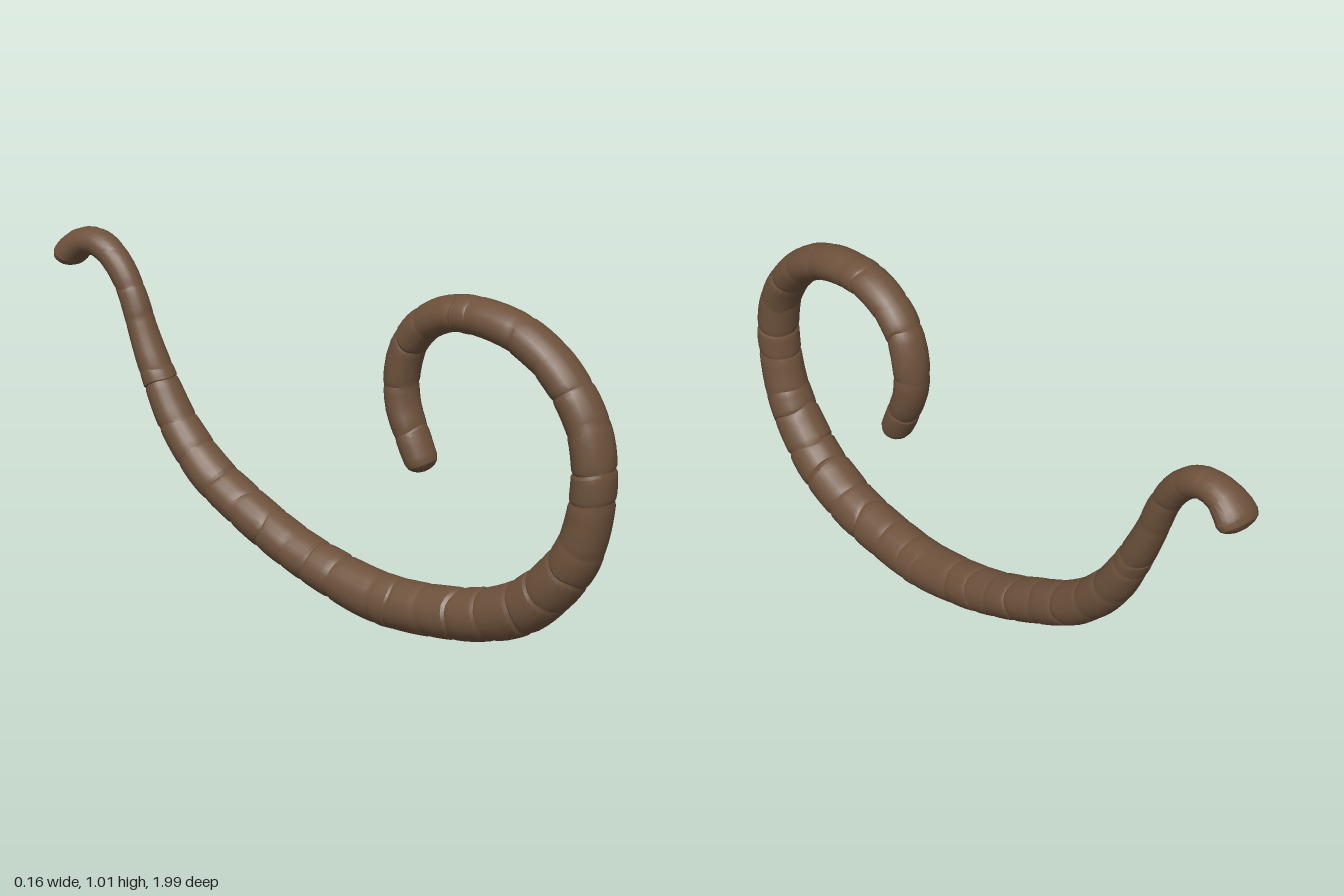
import * as THREE from 'three';
import { toCreasedNormals } from 'three/addons/utils/BufferGeometryUtils.js';

// Centre line from curled tip to flared end: z, y, radius in the curl plane, half width in x
const PATH = [
  [0.395, 0.495, 0.044, 0.05], [0.353, 0.583, 0.046, 0.054], [0.316, 0.674, 0.046, 0.056],
  [0.312, 0.76, 0.046, 0.058], [0.337, 0.85, 0.048, 0.058], [0.39, 0.914, 0.049, 0.059],
  [0.476, 0.958, 0.05, 0.06], [0.578, 0.964, 0.052, 0.062], [0.684, 0.945, 0.053, 0.063],
  [0.786, 0.893, 0.053, 0.065], [0.861, 0.82, 0.054, 0.066], [0.914, 0.735, 0.056, 0.066],
  [0.94, 0.615, 0.058, 0.067], [0.93, 0.481, 0.062, 0.067], [0.898, 0.374, 0.067, 0.071],
  [0.834, 0.278, 0.073, 0.075], [0.738, 0.187, 0.077, 0.077], [0.61, 0.128, 0.075, 0.077],
  [0.46, 0.096, 0.074, 0.076], [0.267, 0.083, 0.075, 0.075], [0.086, 0.112, 0.069, 0.073],
  [-0.075, 0.16, 0.064, 0.072], [-0.235, 0.23, 0.064, 0.071], [-0.396, 0.32, 0.063, 0.069],
  [-0.519, 0.444, 0.058, 0.062], [-0.594, 0.572, 0.05, 0.055], [-0.652, 0.695, 0.043, 0.047],
  [-0.7, 0.818, 0.041, 0.043], [-0.754, 0.9, 0.042, 0.045], [-0.823, 0.947, 0.042, 0.048],
  [-0.89, 0.947, 0.042, 0.05], [-0.935, 0.918, 0.045, 0.064], [-0.967, 0.875, 0.044, 0.07],
];
const SIDES = 20;
const FOLDS = 36;
const CAP = 0.035;

// Small seeded random numbers, 0 to 1
function seeded(seed) {
  return () => {
    seed = (seed * 16807) % 2147483647;
    return seed / 2147483647;
  };
}

function trunkGeometry() {
  const curve = new THREE.CatmullRomCurve3(PATH.map(([z, y]) => new THREE.Vector3(0, y, z)));
  const length = curve.getLength();
  const cap = CAP / length;
  const random = seeded(77);

  // Fold borders, each with its own tilt around the trunk
  const borders = [];
  for (let i = 0; i <= FOLDS; i++) {
    const atEnd = i === 0 || i === FOLDS;
    const s = (i + (atEnd ? 0 : (random() - 0.5) * 0.65)) / FOLDS;
    borders.push({
      u: cap + s * (1 - 2 * cap),
      tilt: atEnd ? 0 : (random() - 0.5) * 0.026 / length,
      ripple: atEnd ? 0 : random() * 0.007 / length,
      phase: random() * 6.28,
      depth: atEnd ? 0 : 0.03 + random() * 0.06,
    });
  }

  // Rings: rounded tip, bulging skin folds with sharp grooves between, rounded end
  const rings = [];
  const capSteps = [0, 0.06, 0.25, 0.55];
  capSteps.forEach((d) => rings.push({ u: d * cap, scale: () => Math.sqrt(1 - (1 - d) ** 2), shift: () => 0 }));
  for (let i = 0; i < FOLDS; i++) {
    const a = borders[i], b = borders[i + 1];
    const swell = 0.015 + random() * 0.025;
    const phase = random() * 6.28;
    for (const f of [0, 0.1, 0.3, 0.55, 0.8, 0.93]) {
      const groove = f === 0 ? a.depth : f === 0.93 ? b.depth * 0.2 : 0;
      const bulge = swell * Math.sin(Math.PI * Math.min(1, f * 0.9 + 0.1));
      const shiftOf = (e, t) => e.tilt * Math.sin(t) + e.ripple * Math.sin(3 * t + e.phase);
      rings.push({
        u: a.u + (b.u - a.u) * f,
        scale: (t) => 1 - groove * (0.75 + 0.25 * Math.sin(2 * t + phase))
          + bulge * (0.6 + 0.4 * Math.sin(3 * t + phase)) - 0.01,
        shift: (t) => shiftOf(a, t) * (1 - f) + shiftOf(b, t) * f,
      });
    }
  }
  [1, ...capSteps.slice().reverse()].forEach((d) =>
    rings.push({ u: 1 - d * cap, scale: () => Math.sqrt(1 - (1 - d) ** 2), shift: () => 0 }));

  // Vertices
  const positions = [];
  const side = new THREE.Vector3(1, 0, 0);
  for (const ring of rings) {
    for (let j = 0; j < SIDES; j++) {
      const t = (j / SIDES) * Math.PI * 2;
      const u = THREE.MathUtils.clamp(ring.u + ring.shift(t), 0, 1);
      const w = curve.getUtoTmapping(u);
      const k = Math.min(Math.floor(w * (PATH.length - 1)), PATH.length - 2);
      const f = w * (PATH.length - 1) - k;
      const radius = THREE.MathUtils.lerp(PATH[k][2], PATH[k + 1][2], f);
      const width = THREE.MathUtils.lerp(PATH[k][3], PATH[k + 1][3], f);
      const normal = curve.getTangent(w).cross(side).normalize();
      const scale = ring.scale(t);
      const p = curve.getPoint(w)
        .addScaledVector(side, Math.cos(t) * width * scale)
        .addScaledVector(normal, Math.sin(t) * radius * scale);
      positions.push(p.x, Math.max(0, p.y), p.z);
    }
  }

  // Faces, leaving out the collapsed ones at both poles
  const index = [];
  const last = rings.length - 2;
  for (let i = 0; i <= last; i++) {
    for (let j = 0; j < SIDES; j++) {
      const n = (j + 1) % SIDES;
      const a = i * SIDES + j, b = i * SIDES + n, c = a + SIDES, d = b + SIDES;
      if (i > 0) index.push(a, b, c);
      if (i < last) index.push(b, d, c);
    }
  }
  const geometry = new THREE.BufferGeometry();
  geometry.setAttribute('position', new THREE.Float32BufferAttribute(positions, 3));
  geometry.setIndex(index);
  return toCreasedNormals(geometry, 0.45);
}

export function createModel() {
  const model = new THREE.Group();
  model.name = 'curledTrunk';
  const skin = new THREE.MeshStandardMaterial({ color: 0x6e523c });
  skin.name = 'brown skin';
  const trunk = new THREE.Mesh(trunkGeometry(), skin);
  trunk.name = 'wrinkledTrunk';
  model.add(trunk);
  return model;
}
